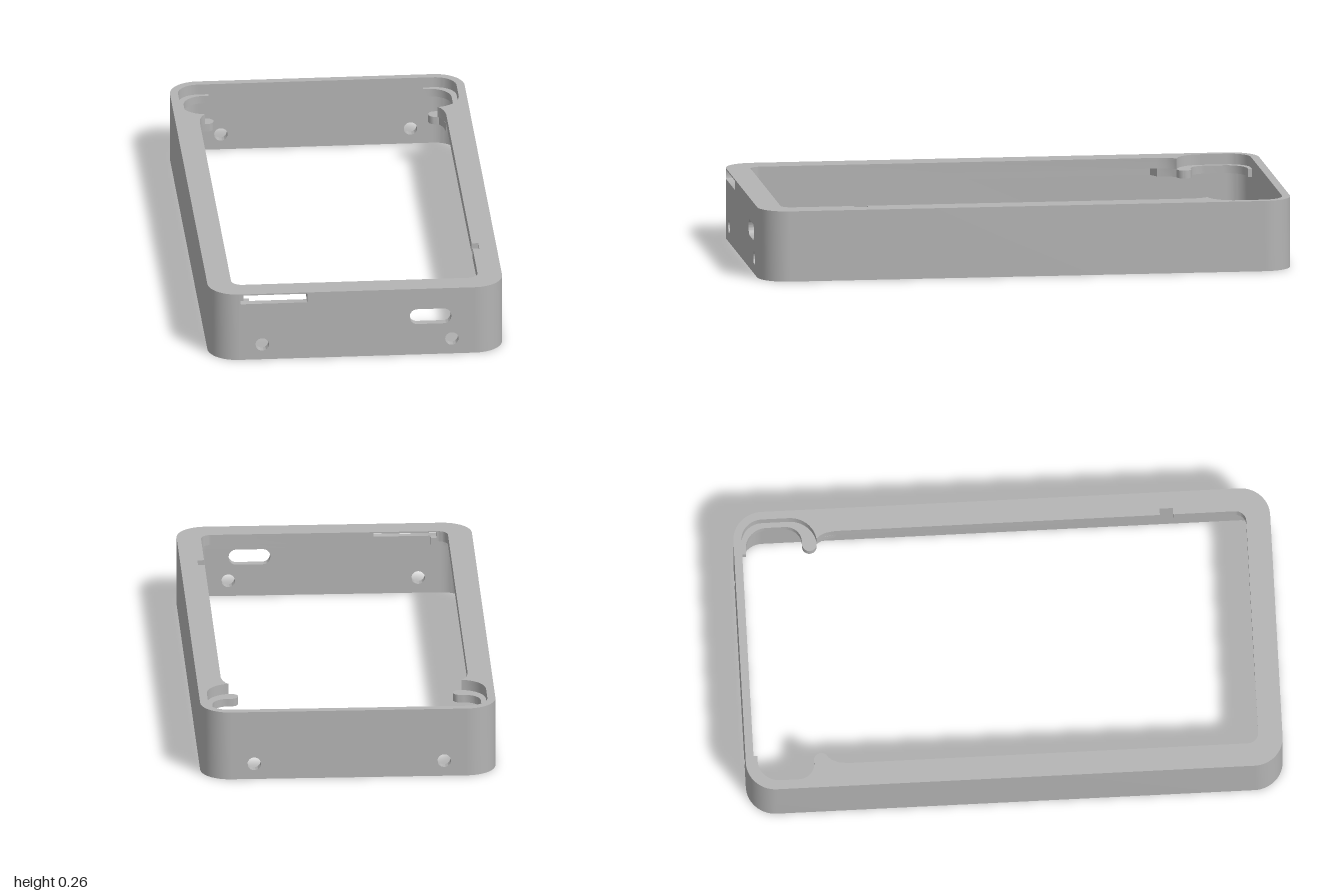
import * as THREE from 'three';
import { toCreasedNormals } from 'three/addons/utils/BufferGeometryUtils.js';

const H = 0.265;          // overall height
const LEDGE_Y = 0.195;    // underside of the inner ledge
const LIP_Y = 0.225;      // underside of the top lip
const CAP_Y = 0.259;      // thin skin above the card slot

// points on an arc in the x/z plane, angles in degrees
function arc(cx, cz, r, a0, a1, n = 12) {
  return Array.from({ length: n + 1 }, (_, i) => {
    const a = THREE.MathUtils.degToRad(a0 + (a1 - a0) * i / n);
    return [cx + r * Math.cos(a), cz + r * Math.sin(a)];
  });
}

function rectPath(x0, x1, y0, y1, r) {
  const p = [
    ...arc(x1 - r, y1 - r, r, 0, 90, 8), ...arc(x0 + r, y1 - r, r, 90, 180, 8),
    ...arc(x0 + r, y0 + r, r, 180, 270, 8), ...arc(x1 - r, y0 + r, r, 270, 360, 8),
  ];
  return new THREE.Path(p.map(([x, y]) => new THREE.Vector2(x, y)));
}

export function createModel() {
  const group = new THREE.Group();
  const grey = new THREE.MeshStandardMaterial({ color: 0xb4b4b4 });
  grey.name = 'grey plastic';

  const add = (name, geo) => {
    const mesh = new THREE.Mesh(toCreasedNormals(geo, 0.5), grey);
    mesh.name = name;
    group.add(mesh);
  };

  // x/z outline raised from y0 to y1, side = -1 mirrors it
  const slab = (name, pts, side, y0, y1) => {
    const shape = new THREE.Shape(pts.map(([x, z]) => new THREE.Vector2(side * x, -z)));
    const geo = new THREE.ExtrudeGeometry(shape, { depth: y1 - y0, bevelEnabled: false });
    geo.rotateX(-Math.PI / 2).translate(0, y0, 0);
    add(name, geo);
  };

  // flat end wall with openings
  const endWall = (name, z, openings) => {
    const shape = new THREE.Shape([[-0.44, 0], [0.44, 0], [0.44, H], [-0.44, H]]
      .map(([x, y]) => new THREE.Vector2(x, y)));
    for (const x of [-0.354, 0.354])
      shape.holes.push(new THREE.Path().absarc(x, 0.06, 0.025, 0, Math.PI * 2));
    shape.holes.push(...openings);
    const geo = new THREE.ExtrudeGeometry(shape, { depth: 0.03, bevelEnabled: false, curveSegments: 24 });
    add(name, geo.translate(0, 0, z));
  };
  endWall('frontWall', 0.97, [
    rectPath(0.197, 0.352, 0.123, 0.183, 0.028),   // port
    rectPath(-0.435, -0.185, 0.225, 0.26, 0.003),  // card slot
  ]);
  endWall('backWall', -1, []);

  // side walls with rounded corners
  const sideWall = [
    ...arc(0.44, 0.89, 0.11, 90, 0, 16), ...arc(0.44, -0.89, 0.11, 0, -90, 16),
    ...arc(0.44, -0.89, 0.08, -90, 0, 16), ...arc(0.44, 0.89, 0.08, 0, 90, 16),
  ];

  // narrow ledge, ending in a hook around each back corner
  const ledge = (x0) => [
    [x0, 0.97], ...arc(0.44, 0.89, 0.08, 90, 0, 16),
    ...arc(0.44, -0.89, 0.08, 0, -90, 16),
    [0.4, -0.97], [0.4, -0.955],
    ...arc(0.42, -0.875, 0.08, -90, 0), ...arc(0.44, -0.805, 0.06, 0, 90),
    ...arc(0.427, -0.718, 0.027, -90, -270),
    [0.438, -0.69], [0.452, -0.665], [0.46, -0.62], [0.497, -0.6],
    ...arc(0.437, 0.887, 0.06, 0, 90), [x0, 0.947],
  ];

  // wide top lip with a scooped back end
  const lip = (x0, notched) => [
    [x0, 0.97], ...arc(0.44, 0.89, 0.08, 90, 0, 16),
    ...arc(0.42, -0.79, 0.1, 0, 82),
    [0.444, -0.68], [0.455, -0.655], [0.46, -0.62],
    ...(notched ? [[0.46, 0.59], [0.485, 0.59], [0.485, 0.64], [0.46, 0.64]] : []),
    ...arc(0.42, 0.87, 0.04, 0, 90), [x0, 0.91],
  ];

  for (const side of [1, -1]) {
    const left = side === 1;
    const n = left ? 'left' : 'right';
    slab(n + 'SideWall', sideWall, side, 0, H);
    slab(n + 'Ledge', ledge(left ? 0 : 0.4), side, LEDGE_Y, LIP_Y);
    slab(n + 'Lip', lip(left ? 0 : 0.421, left), side, LIP_Y, CAP_Y);
    slab(n + 'LipSkin', lip(0, left), side, CAP_Y, H);
  }

  // ledge and lip between the card slot and the middle
  const bridge = (z) => [[0, 0.97], [0.185, 0.97], [0.185, z], [0, z]];
  slab('ledgeBridge', bridge(0.947), -1, LEDGE_Y, LIP_Y);
  slab('lipBridge', bridge(0.91), -1, LIP_Y, CAP_Y);

  return group;
}
